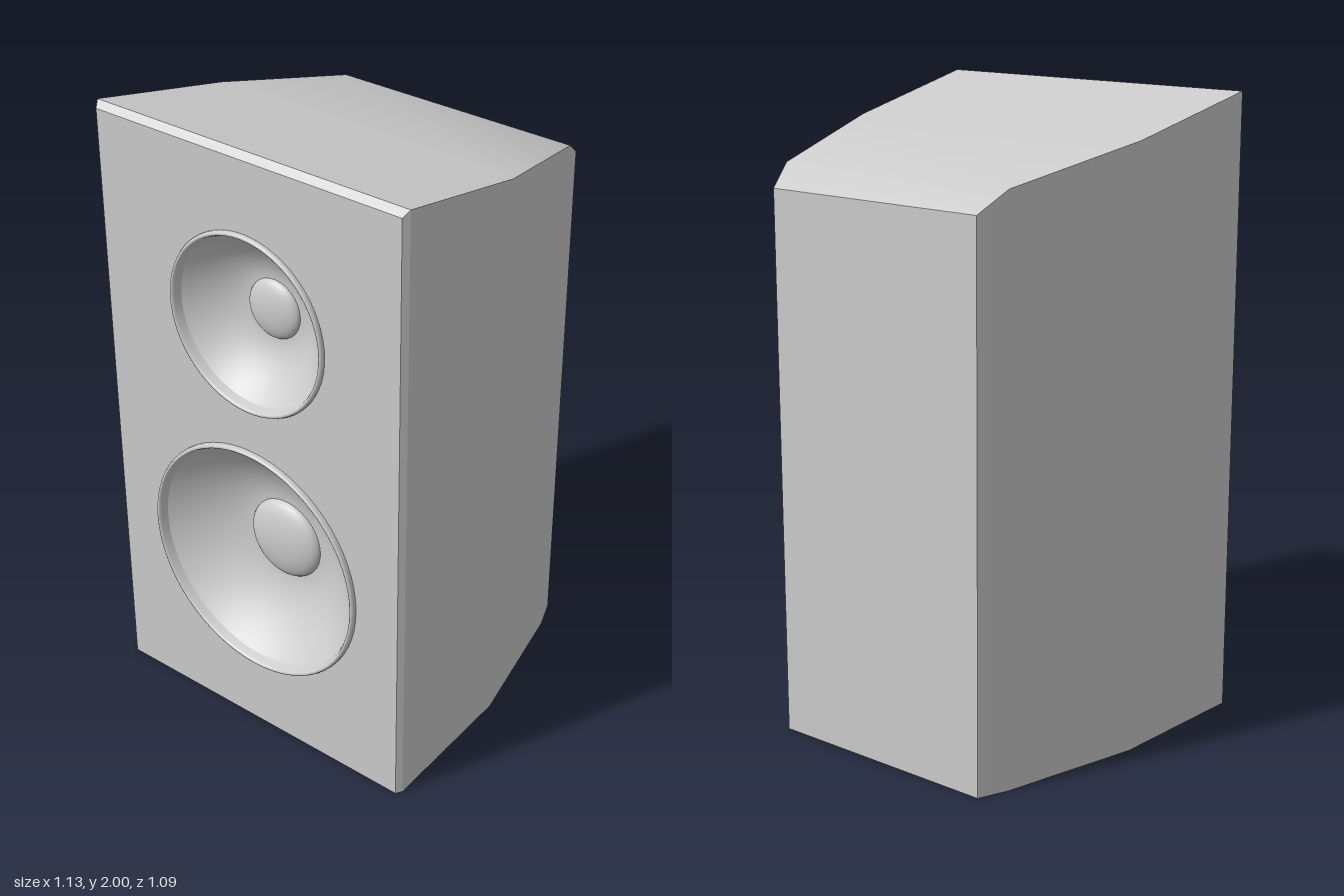
import * as THREE from 'three';
import { toCreasedNormals } from 'three/addons/utils/BufferGeometryUtils.js';

const material = new THREE.MeshStandardMaterial({ color: 0xcccccc });

// Cabinet cross-sections from front to back: z, half width, top height
const sections = [
  [0.525, 0.555, 1.98],
  [0.505, 0.567, 2.0],
  [0.01, 0.543, 1.896],
  [-0.45, 0.43, 1.8],
  [-0.545, 0.392, 1.735],
];

// Drivers: centre height, outer radius, dome radius, rim front, dome depth
const drivers = [
  { name: 'tweeter', y: 1.465, r: 0.29, dome: 0.095, front: 0.54, depth: 0.14 },
  { name: 'woofer', y: 0.635, r: 0.4, dome: 0.135, front: 0.543, depth: 0.17 },
];

function addMesh(parent, name, geometry) {
  const mesh = new THREE.Mesh(geometry, material);
  mesh.name = name;
  parent.add(mesh);
  return mesh;
}

// Top, bottom, sides and back, lofted through the cross-sections
function shellGeometry() {
  const positions = [];
  const quad = (a, b, c, d) => positions.push(...a, ...b, ...c, ...a, ...c, ...d);
  const ring = ([z, w, h]) => [[-w, 0, z], [w, 0, z], [w, h, z], [-w, h, z]];
  for (let i = 0; i < sections.length - 1; i++) {
    const front = ring(sections[i]);
    const back = ring(sections[i + 1]);
    for (let k = 0; k < 4; k++) {
      const n = (k + 1) % 4;
      quad(front[k], back[k], back[n], front[n]);
    }
  }
  const [a, b, c, d] = ring(sections[sections.length - 1]);
  quad(b, a, d, c);
  const geometry = new THREE.BufferGeometry();
  geometry.setAttribute('position', new THREE.Float32BufferAttribute(positions, 3));
  return toCreasedNormals(geometry, Math.PI / 6);
}

// Flat front panel with a round opening for each driver
function baffleGeometry() {
  const [z, w, h] = sections[0];
  const shape = new THREE.Shape();
  shape.moveTo(-w, 0).lineTo(w, 0).lineTo(w, h).lineTo(-w, h).closePath();
  for (const { y, r } of drivers) {
    shape.holes.push(new THREE.Path().absarc(0, y, r - 0.008, 0, Math.PI * 2, true));
  }
  return new THREE.ShapeGeometry(shape, 48).translate(0, 0, z);
}

// Turned profile of [radius, z] points, facing forwards
function turned(points) {
  const profile = points.map(([r, z]) => new THREE.Vector2(r, z));
  return new THREE.LatheGeometry(profile, 64).rotateX(Math.PI / 2);
}

function createDriver({ name, y, r, dome, front, depth }) {
  const group = new THREE.Group();
  group.name = name;
  group.position.y = y;
  const inner = r - 0.022;
  const lip = front - 0.03;
  const floor = front - depth;

  // Rounded rim around the opening
  addMesh(group, 'rim', turned([
    [r, 0.5], [r, front - 0.008], [r - 0.003, front - 0.002], [r - 0.008, front],
    [r - 0.012, front - 0.002], [r - 0.015, front - 0.008], [inner, lip],
  ]));

  // Bowl-shaped cone, steepest near the rim
  const cone = [];
  for (let i = 0; i <= 14; i++) {
    const t = i / 14;
    cone.push([inner + (dome - inner) * t, lip + (floor - lip) * (1 - (1 - t) ** 1.8)]);
  }
  addMesh(group, 'cone', turned(cone));

  // Shallow domed cap in the middle
  const cap = [];
  for (let i = 0; i <= 10; i++) {
    const a = (i / 10) * Math.PI / 2;
    cap.push([i === 10 ? 0 : dome * Math.cos(a), floor + dome * 0.35 * Math.sin(a)]);
  }
  addMesh(group, 'dustCap', turned(cap));
  return group;
}

export function createModel() {
  const model = new THREE.Group();
  model.name = 'loudspeaker';
  addMesh(model, 'cabinet', shellGeometry());
  addMesh(model, 'frontBaffle', baffleGeometry());
  drivers.forEach((driver) => model.add(createDriver(driver)));
  return model;
}
